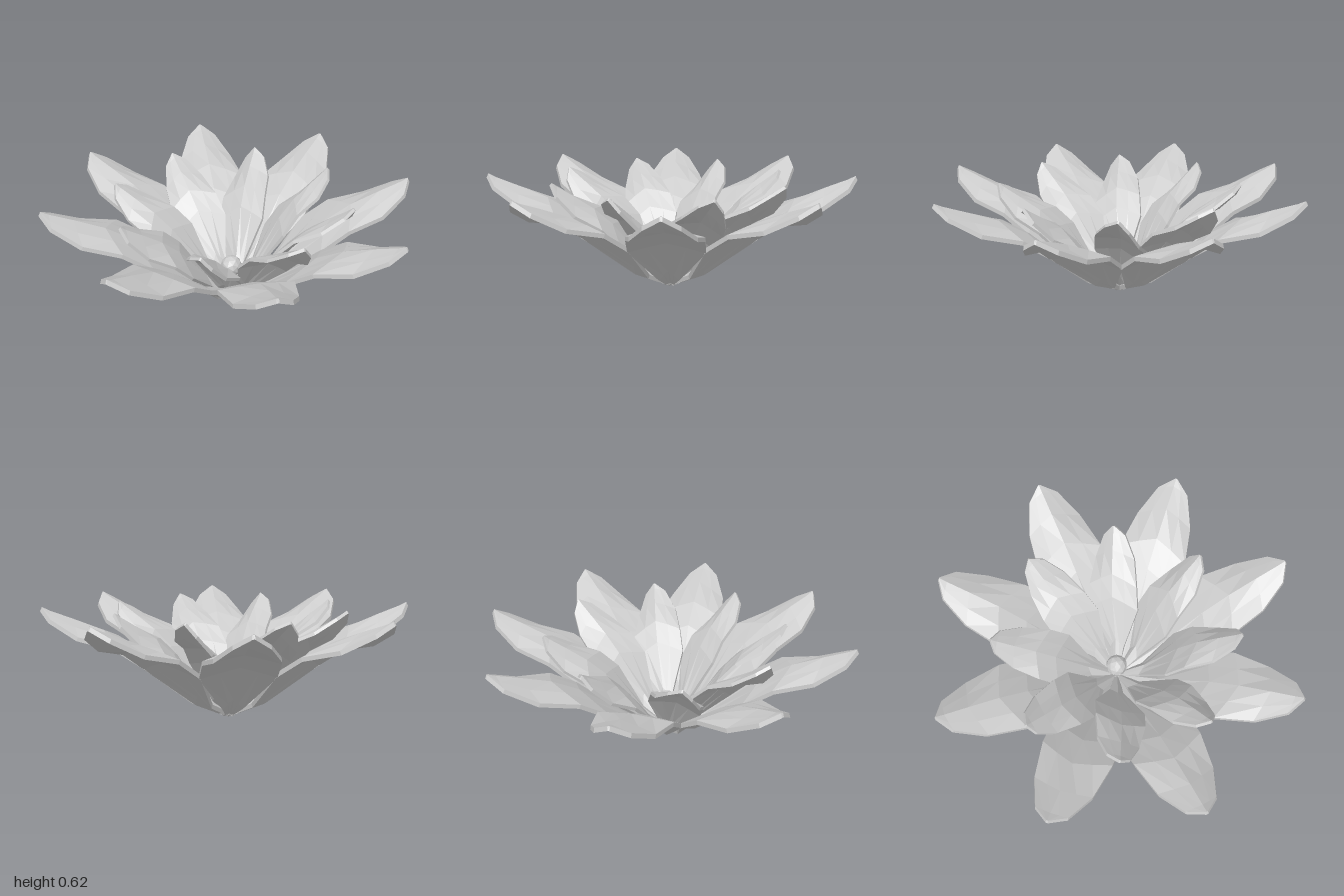
import * as THREE from 'three';

const material = new THREE.MeshStandardMaterial({ color: 0xcccccc, flatShading: true });
const { degToRad, lerp } = THREE.MathUtils;

// Petal pointing along +x: [midrib x, midrib y, edge x, edge y, half width]
const rows = [
  [-0.05, 0.03, -0.05, 0.025, 0.015],
  [0.03, 0.035, 0.03, 0.025, 0.02],
  [0.25, 0.17, 0.2, 0.105, 0.055],
  [0.52, 0.395, 0.45, 0.325, 0.195],
  [0.67, 0.485, 0.6, 0.425, 0.19],
  [0.83, 0.55, 0.795, 0.475, 0.155],
  [0.95, 0.595, 0.94, 0.56, 0.085],
  [0.99, 0.615, 0.99, 0.613, 0.006],
];
const chord = Math.atan2(0.615, 0.99);

function petalGeometry() {
  const across = [1, 0.5, 0, -0.5, -1];
  const n = across.length * 2;
  const positions = [];
  const index = [];

  // Closed ring per row: upper skin, then lower skin back again
  for (const [mx, my, ex, ey, half] of rows) {
    const skin = (s, drop) => {
      const t = Math.abs(s) ** 1.15;
      positions.push(lerp(mx, ex, t) + drop * 0.5, lerp(my, ey, t) - drop, s * half);
    };
    across.forEach((s) => skin(s, 0));
    [...across].reverse().forEach((s) => skin(s, 0.02));
  }

  // Skin between rings
  for (let i = 0; i < rows.length - 1; i++) {
    for (let j = 0; j < n; j++) {
      const a = i * n + j;
      const b = i * n + ((j + 1) % n);
      index.push(a, a + n, b + n, a, b + n, b);
    }
  }

  // End caps
  const last = (rows.length - 1) * n;
  for (let k = 1; k < n - 1; k++) {
    index.push(0, k, k + 1, last, last + k + 1, last + k);
  }

  const geometry = new THREE.BufferGeometry();
  geometry.setAttribute('position', new THREE.Float32BufferAttribute(positions, 3));
  geometry.setIndex(index);
  geometry.computeVertexNormals();
  return geometry;
}

// Ring of eight petals
function petalRing(name, geometry, offset) {
  const ring = new THREE.Group();
  ring.name = name + 's';
  for (let i = 0; i < 8; i++) {
    const petal = new THREE.Mesh(geometry, material);
    petal.name = name;
    petal.rotation.y = degToRad(offset + i * 45);
    ring.add(petal);
  }
  return ring;
}

export function createModel() {
  const model = new THREE.Group();
  model.name = 'waterLily';

  const outer = petalGeometry();
  model.add(petalRing('outerPetal', outer, 0));

  // Inner petals are smaller, steeper and rolled about their length to overlap
  const inner = outer
    .clone()
    .scale(0.76, 0.76, 0.72)
    .rotateZ(-chord)
    .rotateX(degToRad(-20))
    .rotateZ(chord + degToRad(11.5));
  model.add(petalRing('innerPetal', inner, 21));

  // Bud on a short stalk in the middle
  const bud = new THREE.Mesh(new THREE.IcosahedronGeometry(0.06, 1), material);
  bud.name = 'centreBud';
  bud.position.y = 0.17;
  const stalk = new THREE.Mesh(new THREE.CylinderGeometry(0.03, 0.02, 0.12, 8), material);
  stalk.name = 'budStalk';
  stalk.position.y = 0.08;
  model.add(bud, stalk);

  return model;
}
